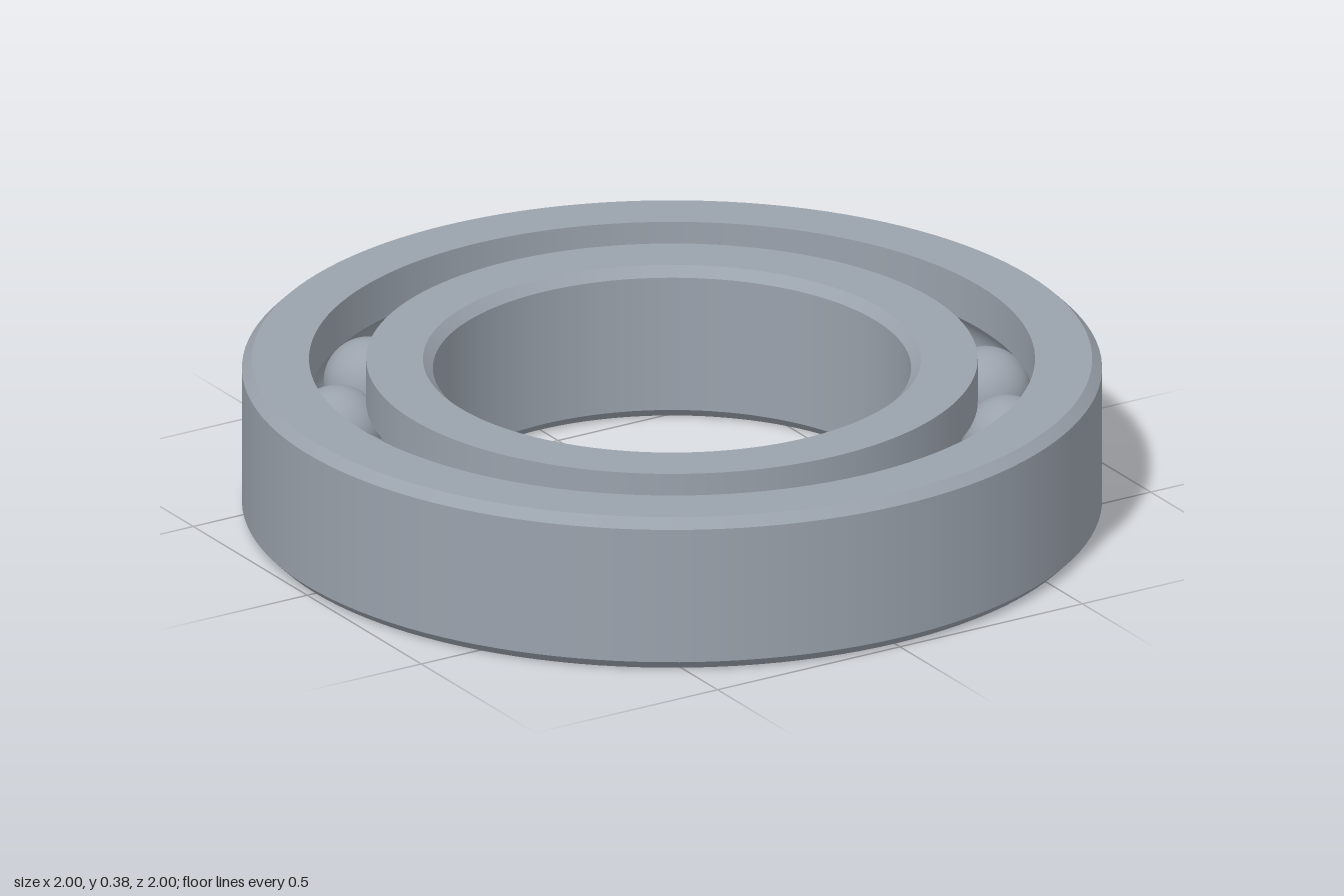
import * as THREE from 'three';
import { mergeGeometries } from 'three/addons/utils/BufferGeometryUtils.js';

const HEIGHT = 0.378, MID = HEIGHT / 2, CHAMFER = 0.023;
const BORE = 0.556, INNER_LAND = 0.711, OUTER_LAND = 0.844, RIM = 1;
const PITCH = 0.778, BALL_R = 0.104, GROOVE_R = 0.105;
const BALLS = 16, BALL_OFFSET = THREE.MathUtils.degToRad(11.8);

// Revolve each smooth run separately so that edges between runs stay sharp
function revolve(runs) {
  return mergeGeometries(runs.map((run) =>
    new THREE.LatheGeometry(run.map(([r, y]) => new THREE.Vector2(r, y)), 128)));
}

// Arc of the ball groove cut into a land, from one edge to the other
function groove(land, fromBottom) {
  const side = Math.sign(land - PITCH);
  const half = Math.acos(Math.abs(land - PITCH) / GROOVE_R);
  const points = [];
  for (let i = 0; i <= 14; i++) {
    const a = (fromBottom ? -1 : 1) * half * (1 - i / 7);
    points.push([PITCH + side * GROOVE_R * Math.cos(a), MID + GROOVE_R * Math.sin(a)]);
  }
  return points;
}

export function createModel() {
  const group = new THREE.Group();
  const steel = new THREE.MeshStandardMaterial({ color: 0x9aa2ac });
  steel.name = 'steel';

  const add = (name, geometry, parent = group) => {
    const mesh = new THREE.Mesh(geometry, steel);
    mesh.name = name;
    parent.add(mesh);
    return mesh;
  };

  // Outer ring: chamfered rim outside, ball groove inside
  const outerGroove = groove(OUTER_LAND, false);
  add('outerRing', revolve([
    [[OUTER_LAND, 0], [RIM - CHAMFER, 0]],
    [[RIM - CHAMFER, 0], [RIM, CHAMFER]],
    [[RIM, CHAMFER], [RIM, HEIGHT - CHAMFER]],
    [[RIM, HEIGHT - CHAMFER], [RIM - CHAMFER, HEIGHT]],
    [[RIM - CHAMFER, HEIGHT], [OUTER_LAND, HEIGHT]],
    [[OUTER_LAND, HEIGHT], outerGroove[0]],
    outerGroove,
    [outerGroove.at(-1), [OUTER_LAND, 0]],
  ]));

  // Inner ring: ball groove outside, chamfered bore inside
  const innerGroove = groove(INNER_LAND, true);
  add('innerRing', revolve([
    [[BORE + CHAMFER, 0], [INNER_LAND, 0]],
    [[INNER_LAND, 0], innerGroove[0]],
    innerGroove,
    [innerGroove.at(-1), [INNER_LAND, HEIGHT]],
    [[INNER_LAND, HEIGHT], [BORE + CHAMFER, HEIGHT]],
    [[BORE + CHAMFER, HEIGHT], [BORE, HEIGHT - CHAMFER]],
    [[BORE, HEIGHT - CHAMFER], [BORE, CHAMFER]],
    [[BORE, CHAMFER], [BORE + CHAMFER, 0]],
  ]));

  // Balls spaced evenly around the race
  const balls = new THREE.Group();
  balls.name = 'balls';
  group.add(balls);
  const ballGeometry = new THREE.SphereGeometry(BALL_R, 40, 24);
  for (let i = 0; i < BALLS; i++) {
    const a = BALL_OFFSET + (i / BALLS) * Math.PI * 2;
    add('ball', ballGeometry, balls).position.set(PITCH * Math.cos(a), MID, PITCH * Math.sin(a));
  }

  return group;
}
